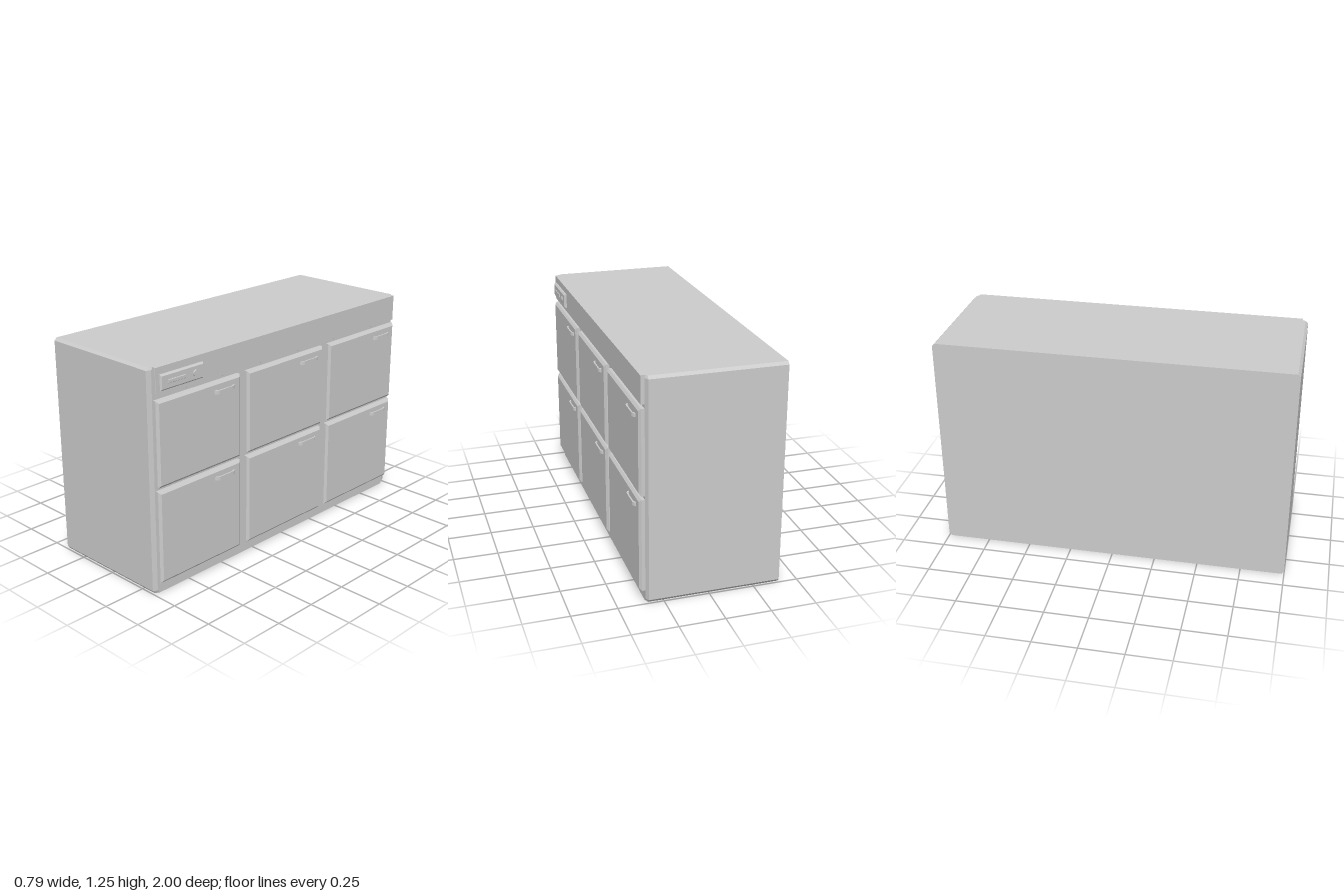
import * as THREE from 'three';

const mat = new THREE.MeshStandardMaterial({ color: 0xcccccc, flatShading: true });

function add(parent, name, geometry) {
  const m = new THREE.Mesh(geometry, mat);
  m.name = name;
  parent.add(m);
  return m;
}

// Slab whose +x face is chamfered by `inset` around its rim, over the depth `bevel`
function slab(x0, x1, y0, y1, z0, z1, bevel, inset) {
  const g = new THREE.BoxGeometry(1, 1, 1, 2, 1, 1).toNonIndexed();
  const p = g.attributes.position;
  for (let i = 0; i < p.count; i++) {
    const level = p.getX(i);
    const k = level > 0.25 ? inset : 0;
    const x = level < -0.25 ? x0 : level > 0.25 ? x1 : x1 - bevel;
    p.setXYZ(i, x, p.getY(i) < 0 ? y0 + k : y1 - k, p.getZ(i) < 0 ? z0 + k : z1 - k);
  }
  g.computeVertexNormals();
  return g;
}

// Extrude a side profile along x; the front ring narrows in z
function cabinet() {
  const x0 = -0.395, x1 = 0.345, c = 0.015, b = 0.005, t = 1.26;
  const s = new THREE.Shape([
    [-1 + c, b], [1 - c, b], [1, b + 0.018], [1, t - c],
    [1 - c, t], [-1 + c, t], [-1, t - c], [-1, b + 0.018],
  ].map(([x, y]) => new THREE.Vector2(x, y)));
  const g = new THREE.ExtrudeGeometry(s, { depth: 1, steps: 2, bevelEnabled: false });
  const p = g.attributes.position;
  for (let i = 0; i < p.count; i++) {
    const d = p.getZ(i);
    if (d > 0.75) p.setX(i, p.getX(i) * 0.975);
    p.setZ(i, d < 0.25 ? x0 : d > 0.75 ? x1 : x1 - 0.012);
  }
  g.rotateY(Math.PI / 2);
  g.computeVertexNormals();
  return g;
}

// Bowed pull, open behind, extruded upwards
function pull() {
  const s = new THREE.Shape();
  s.moveTo(-0.075, -0.003);
  s.quadraticCurveTo(-0.068, 0.012, -0.05, 0.016);
  s.lineTo(0.05, 0.016);
  s.quadraticCurveTo(0.068, 0.012, 0.075, -0.003);
  s.lineTo(0.06, -0.003);
  s.quadraticCurveTo(0.055, 0.007, 0.045, 0.008);
  s.lineTo(-0.045, 0.008);
  s.quadraticCurveTo(-0.055, 0.007, -0.06, -0.003);
  const g = new THREE.ExtrudeGeometry(s, { depth: 0.02, bevelEnabled: false, curveSegments: 5 });
  g.rotateX(-Math.PI / 2);
  g.rotateY(-Math.PI / 2);
  // shape depth now points along +x, length along z
  return g;
}

export function createModel() {
  const group = new THREE.Group();
  group.name = 'chestCabinet';

  add(group, 'cabinetBody', cabinet());
  add(group, 'topRail', slab(0.34, 0.365, 1.108, 1.26, -0.972, 0.968, 0.002, 0.001));

  // Two rows of three doors, each with a pull
  const columns = [[0.375, 0.97, 0.5], [-0.305, 0.32, -0.175], [-0.975, -0.36, -0.845]];
  const rows = [[0.07, 0.595, 0.536], [0.615, 1.087, 1.024]];
  for (const [y0, y1, handleY] of rows) {
    for (const [z0, z1, handleZ] of columns) {
      const unit = new THREE.Group();
      unit.name = 'drawer';
      add(unit, 'drawerFront', slab(0.34, 0.375, y0, y1, z0, z1, 0.012, 0.014));
      const h = add(unit, 'drawerHandle', pull());
      h.position.set(0.375, handleY, handleZ);
      group.add(unit);
    }
  }

  // Control box on the rail with a display strip and a dial
  const controls = new THREE.Group();
  controls.name = 'controlPanel';
  add(controls, 'panelPlate', slab(0.36, 0.38, 1.135, 1.22, 0.65, 0.945, 0.008, 0.008));
  add(controls, 'displayStrip', slab(0.375, 0.384, 1.167, 1.187, 0.78, 0.9, 0.002, 0.002));
  const dial = add(controls, 'dial', new THREE.CylinderGeometry(0.016, 0.018, 0.012, 16));
  dial.rotation.z = -Math.PI / 2;
  dial.position.set(0.38, 1.177, 0.71);
  group.add(controls);

  return group;
}
